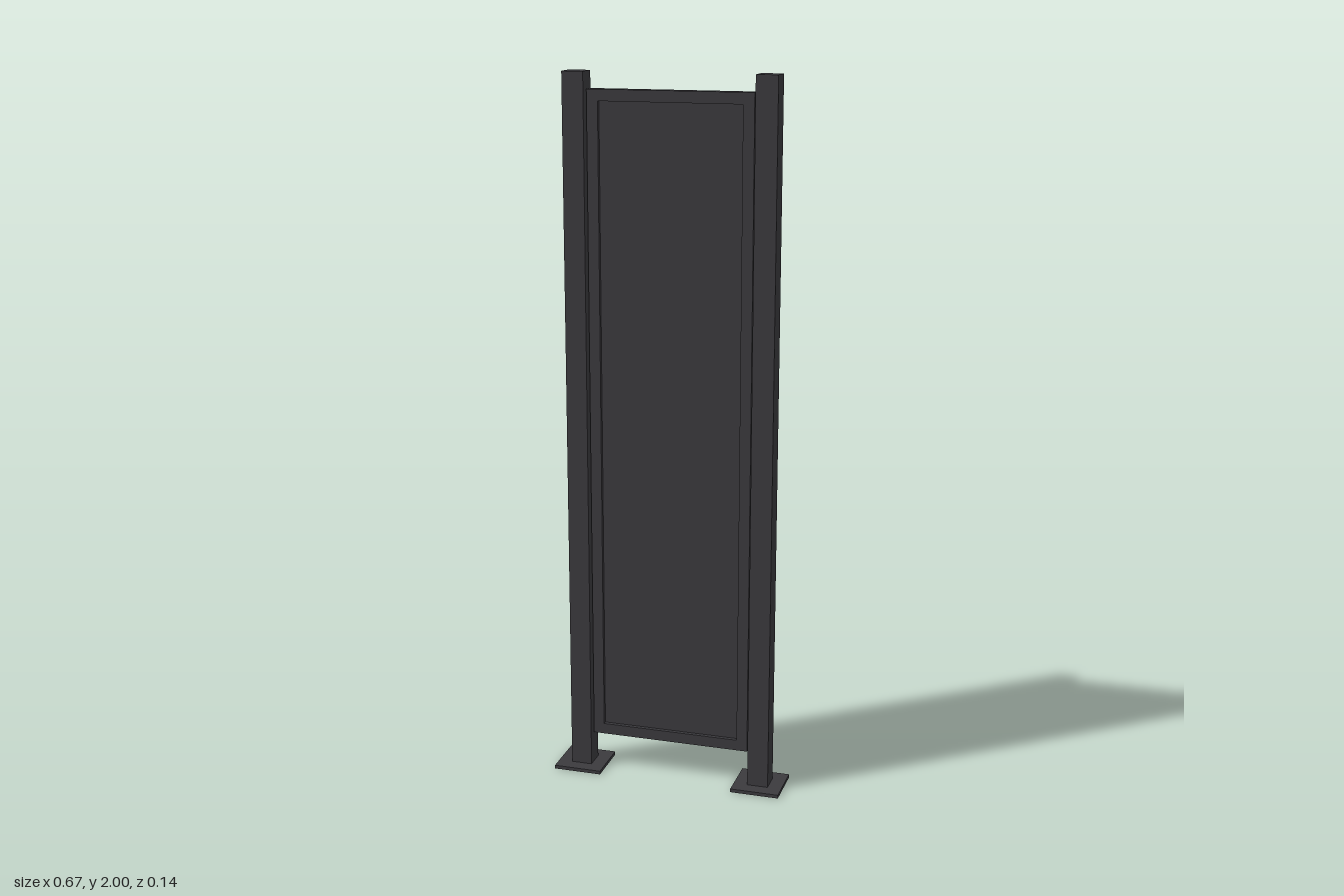
import * as THREE from 'three';

export function createModel() {
  const group = new THREE.Group();
  const darkGrey = new THREE.MeshStandardMaterial({ color: 0x3b3a3e });
  darkGrey.name = 'darkGrey';

  const add = (name, geometry, x, y, z) => {
    const mesh = new THREE.Mesh(geometry, darkGrey);
    mesh.name = name;
    mesh.position.set(x, y, z);
    group.add(mesh);
  };

  // Square posts on thin foot plates, mirrored
  const plateHeight = 0.01;
  const postGeometry = new THREE.BoxGeometry(0.06, 2 - plateHeight, 0.06);
  const plateGeometry = new THREE.BoxGeometry(0.139, plateHeight, 0.139);
  for (const [side, s] of [['left', 1], ['right', -1]]) {
    add(side + 'Post', postGeometry, s * 0.265, 1 + plateHeight / 2, 0);
    add(side + 'FootPlate', plateGeometry, s * 0.265, plateHeight / 2, 0);
  }

  // Frame with a rectangular opening, hung just clear of the posts
  const width = 0.46, height = 1.847, border = 0.031, depth = 0.035, midY = 1.03;
  const rectangle = (Type, w, h) => new Type([
    new THREE.Vector2(-w / 2, -h / 2), new THREE.Vector2(w / 2, -h / 2),
    new THREE.Vector2(w / 2, h / 2), new THREE.Vector2(-w / 2, h / 2),
  ]);
  const outline = rectangle(THREE.Shape, width, height);
  outline.holes.push(rectangle(THREE.Path, width - 2 * border, height - 2 * border));
  add('panelFrame', new THREE.ExtrudeGeometry(outline, { depth, bevelEnabled: false }), 0, midY, -depth / 2);

  // Infill panel, recessed on both faces
  add('infillPanel', new THREE.BoxGeometry(width - 2 * border, height - 2 * border, 0.012), 0, midY, 0);

  return group;
}
